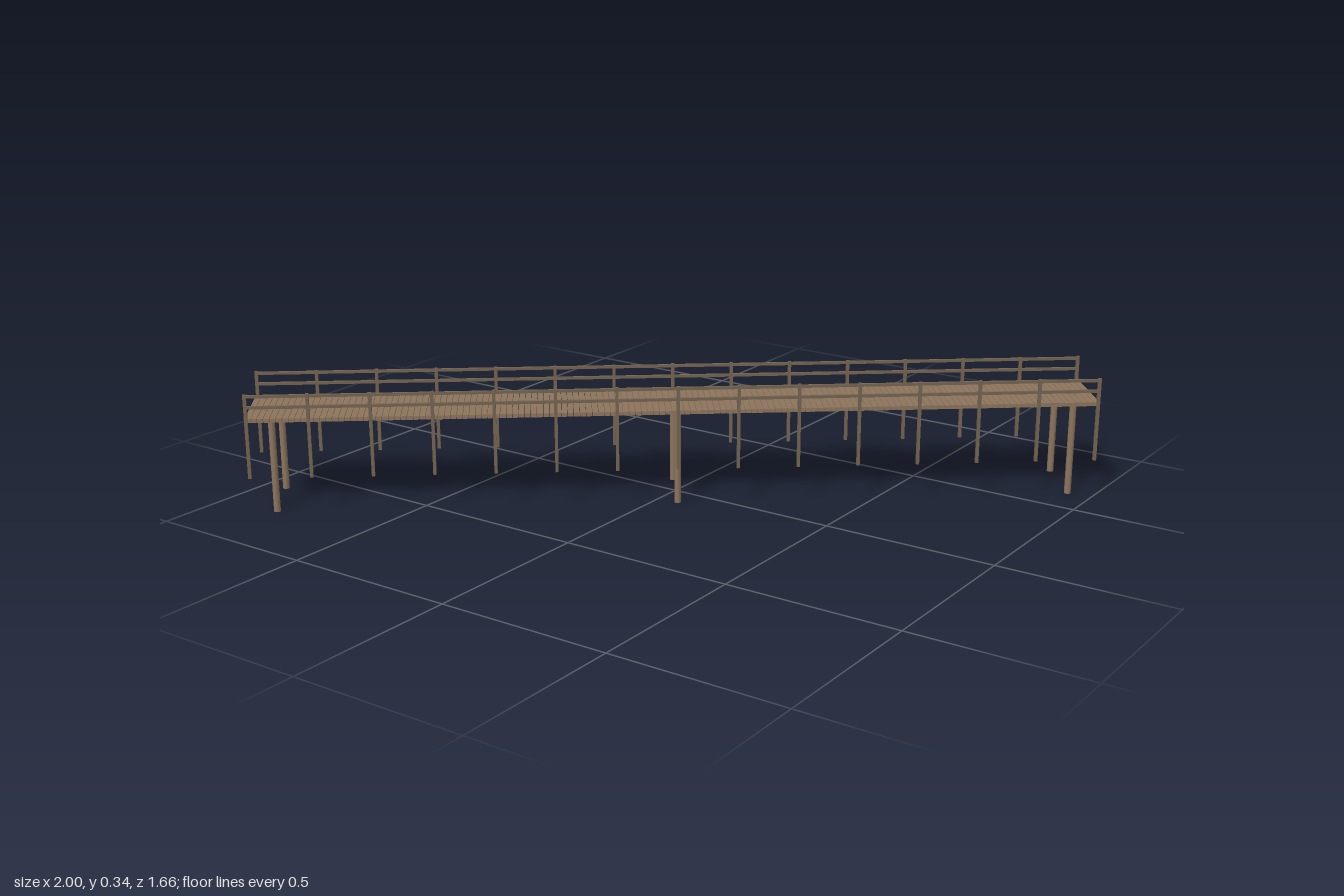
import * as THREE from 'three';

const LENGTH = 2.366;
const WIDTH = 0.238;
const ANGLE = 0.6744; // the pier runs diagonally

export function createModel() {
  const deckWood = new THREE.MeshStandardMaterial({ color: 0x8c745c });
  deckWood.name = 'deckWood';
  const railWood = new THREE.MeshStandardMaterial({ color: 0x74634f });
  railWood.name = 'railWood';

  const model = new THREE.Group();
  model.name = 'footbridge';
  const pier = new THREE.Group();
  pier.name = 'pier';
  pier.rotation.y = ANGLE;
  model.add(pier);

  const add = (name, geometry, material, x, y, z) => {
    const mesh = new THREE.Mesh(geometry, material);
    mesh.name = name;
    mesh.position.set(x, y, z);
    pier.add(mesh);
  };

  // Deck: cross planks with narrow gaps
  const planks = 140;
  const pitch = LENGTH / planks;
  const plank = new THREE.BoxGeometry(pitch - 0.0012, 0.011, WIDTH - 0.008);
  for (let i = 0; i < planks; i++) {
    add('plank', plank, deckWood, -LENGTH / 2 + (i + 0.5) * pitch, 0.269, 0);
  }

  // Railings: fifteen posts and two rails on each side
  const post = new THREE.BoxGeometry(0.009, 0.24, 0.009);
  const rail = new THREE.BoxGeometry(LENGTH, 0.008, 0.007);
  const reach = LENGTH / 2 - 0.0045;
  for (const side of [-1, 1]) {
    const z = side * (WIDTH / 2 - 0.0045);
    for (let i = 0; i < 15; i++) {
      add('railPost', post, railWood, -reach + (i * 2 * reach) / 14, 0.224, z);
    }
    add('topRail', rail, railWood, 0, 0.338, z);
    add('middleRail', rail, railWood, 0, 0.307, z);
  }

  // Piles: three pairs reaching the ground
  const pile = new THREE.CylinderGeometry(0.0095, 0.0095, 0.266, 10);
  for (const x of [-1.113, 0, 1.113]) {
    for (const side of [-1, 1]) add('pile', pile, deckWood, x, 0.133, side * 0.096);
  }

  return model;
}
